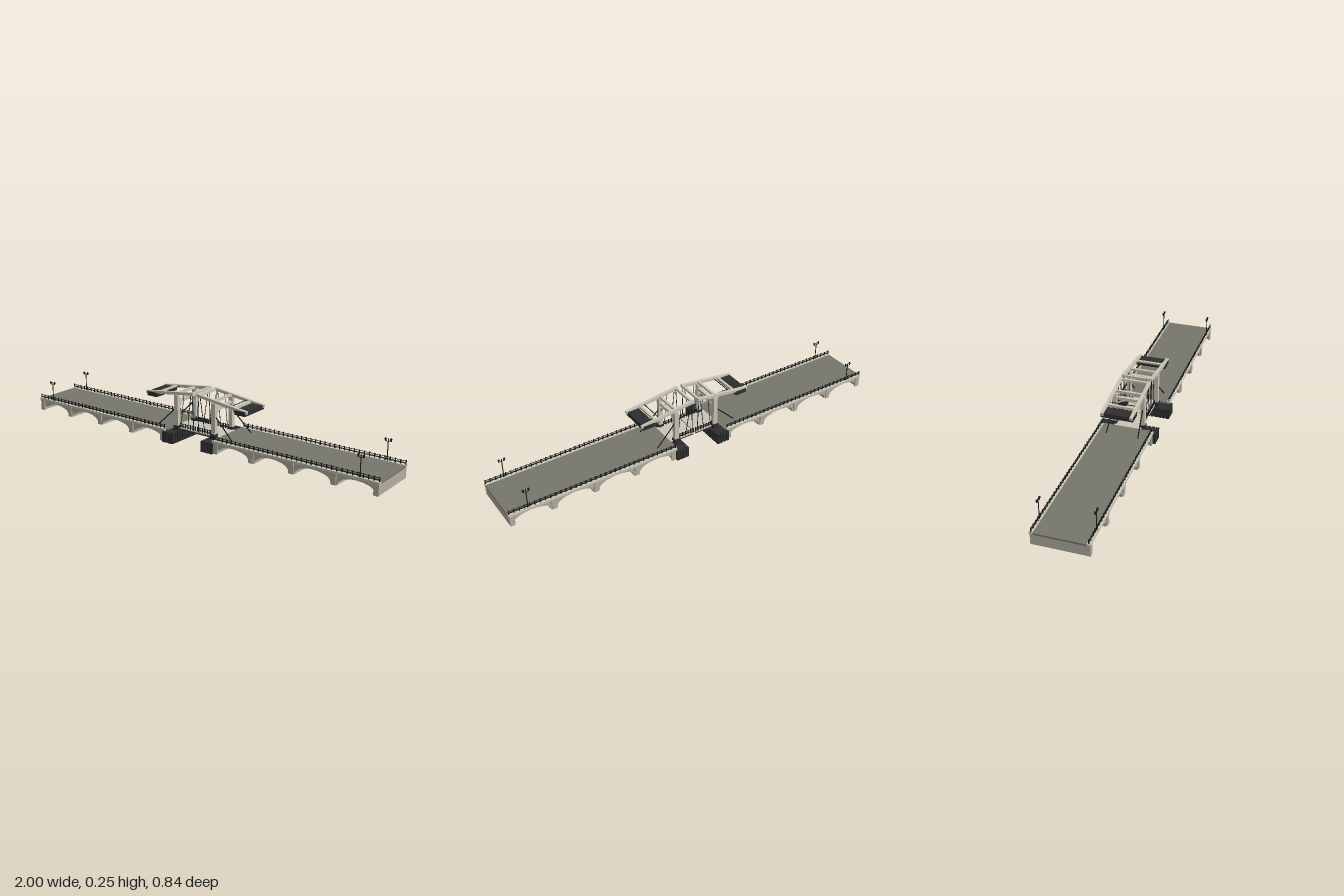
import * as THREE from 'three';

const material = (name, color) => {
  const m = new THREE.MeshStandardMaterial({ color });
  m.name = name;
  return m;
};

export function createModel() {
  const stone = material('stone', 0xb3af9f);
  const cream = material('cream paint', 0xc9c6b6);
  const road = material('road grey', 0x77766c);
  const dark = material('dark timber', 0x2e2e30);
  const iron = material('black iron', 0x1b1c1d);

  const model = new THREE.Group();
  model.name = 'drawbridge';

  const add = (parent, name, geometry, mat) => {
    const mesh = new THREE.Mesh(geometry, mat);
    mesh.name = name;
    parent.add(mesh);
    return mesh;
  };
  // Box given by its lower and upper limits
  const box = (parent, name, mat, x0, x1, y0, y1, z0, z1) => {
    const mesh = add(parent, name, new THREE.BoxGeometry(x1 - x0, y1 - y0, z1 - z0), mat);
    mesh.position.set((x0 + x1) / 2, (y0 + y1) / 2, (z0 + z1) / 2);
    return mesh;
  };
  // Round rod between two points
  const rod = (parent, name, mat, a, b, r) => {
    const p = new THREE.Vector3(...a), q = new THREE.Vector3(...b);
    const d = q.clone().sub(p);
    const mesh = add(parent, name, new THREE.CylinderGeometry(r, r, d.length(), 6), mat);
    mesh.position.copy(p).add(q).multiplyScalar(0.5);
    mesh.quaternion.setFromUnitVectors(new THREE.Vector3(0, 1, 0), d.normalize());
    return mesh;
  };
  // Square beam lying in an upright plane of constant z
  const beam = (parent, name, mat, x0, y0, x1, y1, z, h, w) => {
    const mesh = add(parent, name, new THREE.BoxGeometry(Math.hypot(x1 - x0, y1 - y0), h, w), mat);
    mesh.position.set((x0 + x1) / 2, (y0 + y1) / 2, z);
    mesh.rotation.z = Math.atan2(y1 - y0, x1 - x0);
    return mesh;
  };
  // Railing with posts, along x
  const railing = (parent, x0, x1, z, base, top, count) => {
    const g = new THREE.Group();
    g.name = 'railing';
    parent.add(g);
    for (const y of [top - 0.002, (base + top) / 2, base + 0.006])
      box(g, 'rail', iron, x0, x1, y - 0.001, y + 0.001, z - 0.001, z + 0.001);
    for (let i = 0; i <= count; i++) {
      const x = x0 + (x1 - x0) * i / count;
      box(g, 'railPost', iron, x - 0.002, x + 0.002, base, top + 0.002, z - 0.002, z + 0.002);
    }
  };

  const start = 0.148, end = 1.0, bays = 4, pitch = (end - start) / bays;

  const buildViaduct = (half) => {
    // Masonry with four barrel arches running through it
    const s = new THREE.Shape();
    s.moveTo(start, 0);
    for (let i = 0; i < bays; i++) {
      const c = start + (i + 0.5) * pitch, r = 0.09;
      s.lineTo(c - r, 0);
      s.lineTo(c - r, 0.008);
      for (let k = 1; k <= 18; k++) {
        const a = Math.PI * (1 - k / 18);
        s.lineTo(c + r * Math.cos(a), 0.008 + 0.036 * Math.sin(a));
      }
      s.lineTo(c + r, 0);
    }
    s.lineTo(end, 0);
    s.lineTo(end, 0.055);
    s.lineTo(start, 0.055);
    const body = new THREE.ExtrudeGeometry(s, { depth: 0.248, bevelEnabled: false });
    body.translate(0, 0, -0.124);
    add(half, 'archedViaduct', body, stone);

    // Pilasters between the arches, cornices, kerbs and railings
    for (const side of [-1, 1]) {
      for (let i = 0; i <= bays; i++) {
        const x = THREE.MathUtils.clamp(start + i * pitch, start + 0.011, end - 0.011);
        box(half, 'pilaster', stone, x - 0.012, x + 0.012, 0, 0.054, side * 0.126 - 0.004, side * 0.126 + 0.004);
      }
      const z = side * 0.124;
      box(half, 'cornice', cream, start - 0.005, 1.004, 0.054, 0.064, z - 0.008, z + 0.008);
      railing(half, start, 1.0, z, 0.064, 0.083, 34);
    }
    box(half, 'roadway', road, start - 0.012, 1.004, 0.053, 0.0615, -0.117, 0.117);

    // Twin-lantern lamp posts near the outer end
    for (const z of [-0.125, 0.125]) {
      const lamp = new THREE.Group();
      lamp.name = 'lampPost';
      lamp.position.set(0.91, 0.06, z);
      half.add(lamp);
      rod(lamp, 'lampPole', iron, [0, 0, 0], [0, 0.105, 0], 0.0022);
      rod(lamp, 'lampFoot', iron, [0, 0, 0], [0, 0.025, 0], 0.0035);
      rod(lamp, 'lampArm', iron, [-0.013, 0.092, 0], [0.013, 0.092, 0], 0.0012);
      for (const x of [-0.013, 0.013]) {
        const glass = add(lamp, 'lantern', new THREE.CylinderGeometry(0.005, 0.003, 0.011, 6), iron);
        glass.position.set(x, 0.098, 0);
        const cap = add(lamp, 'lanternCap', new THREE.ConeGeometry(0.006, 0.006, 6), iron);
        cap.position.set(x, 0.1065, 0);
      }
    }
  };

  const buildPier = (half) => {
    // Timber pier faced with upright piles
    box(half, 'pierCore', dark, 0.088, 0.15, 0, 0.05, -0.136, 0.136);
    for (let i = 0; i < 15; i++) {
      const z = -0.133 + i * 0.019;
      box(half, 'pile', dark, 0.083, 0.09, 0, 0.052, z - 0.007, z + 0.007);
    }
    for (const side of [-1, 1])
      for (let i = 0; i < 4; i++) {
        const x = 0.092 + i * 0.017;
        box(half, 'pile', dark, x - 0.006, x + 0.006, 0, 0.054, side * 0.138 - 0.005, side * 0.138 + 0.005);
      }
  };

  const buildLift = (half) => {
    // Lifting leaf
    box(half, 'leafDeck', cream, 0.003, 0.138, 0.056, 0.062, -0.066, 0.066);
    for (const z of [-0.06, -0.02, 0.02, 0.06])
      box(half, 'leafGirder', dark, 0.006, 0.1, 0.048, 0.056, z - 0.003, z + 0.003);
    for (const z of [-0.063, 0.063]) railing(half, 0.006, 0.098, z, 0.062, 0.083, 6);

    // Portal with arched brace
    for (const side of [-1, 1]) {
      const z = side * 0.07;
      box(half, 'portalPost', cream, 0.1, 0.122, 0.05, 0.226, z - 0.01, z + 0.01);
      box(half, 'postFoot', dark, 0.097, 0.125, 0.05, 0.074, z - 0.013, z + 0.013);
      rod(half, 'backStay', iron, [0.118, 0.16, z], [0.22, 0.062, side * 0.078], 0.0028);
    }
    box(half, 'portalCrossbeam', cream, 0.103, 0.119, 0.192, 0.206, -0.07, 0.07);
    const arch = add(half, 'portalArch', new THREE.TorusGeometry(0.06, 0.006, 6, 18, Math.PI), cream);
    arch.rotation.y = Math.PI / 2;
    arch.scale.y = 0.6;
    arch.position.set(0.111, 0.154, 0);

    // Balance frame: sloping beams, cross members and counterweight
    const slope = (x) => 0.247 - (x - 0.014) * 0.126;
    for (const z of [-0.07, 0.07]) {
      beam(half, 'balanceBeam', cream, 0.012, slope(0.012), 0.298, slope(0.298), z, 0.014, 0.015);
      rod(half, 'liftRod', iron, [0.02, 0.242, z], [0.014, 0.062, z * 0.92], 0.0018);
      rod(half, 'liftRod', iron, [0.028, 0.241, z], [0.052, 0.062, z * 0.92], 0.0018);
      rod(half, 'pullRod', iron, [0.075, 0.235, z * 0.9], [0.094, 0.07, z * 0.88], 0.0014);
    }
    for (const x of [0.019, 0.111, 0.222])
      box(half, 'balanceCrossbar', cream, x - 0.006, x + 0.006, slope(x) - 0.006, slope(x) + 0.005, -0.07, 0.07);
    rod(half, 'balanceTieRod', iron, [0.2, slope(0.2), -0.07], [0.2, slope(0.2), 0.07], 0.002);
    box(half, 'counterweight', dark, 0.232, 0.292, 0.194, 0.216, -0.078, 0.078);
  };

  // Two matching halves, the second turned half round
  for (const [name, turn] of [['leftHalf', 0], ['rightHalf', Math.PI]]) {
    const half = new THREE.Group();
    half.name = name;
    half.rotation.y = turn;
    buildViaduct(half);
    buildPier(half);
    buildLift(half);
    model.add(half);
  }

  // The bridge stands at a slant
  const root = new THREE.Group();
  root.name = 'bridge';
  model.rotation.y = 0.298;
  root.add(model);
  return root;
}
